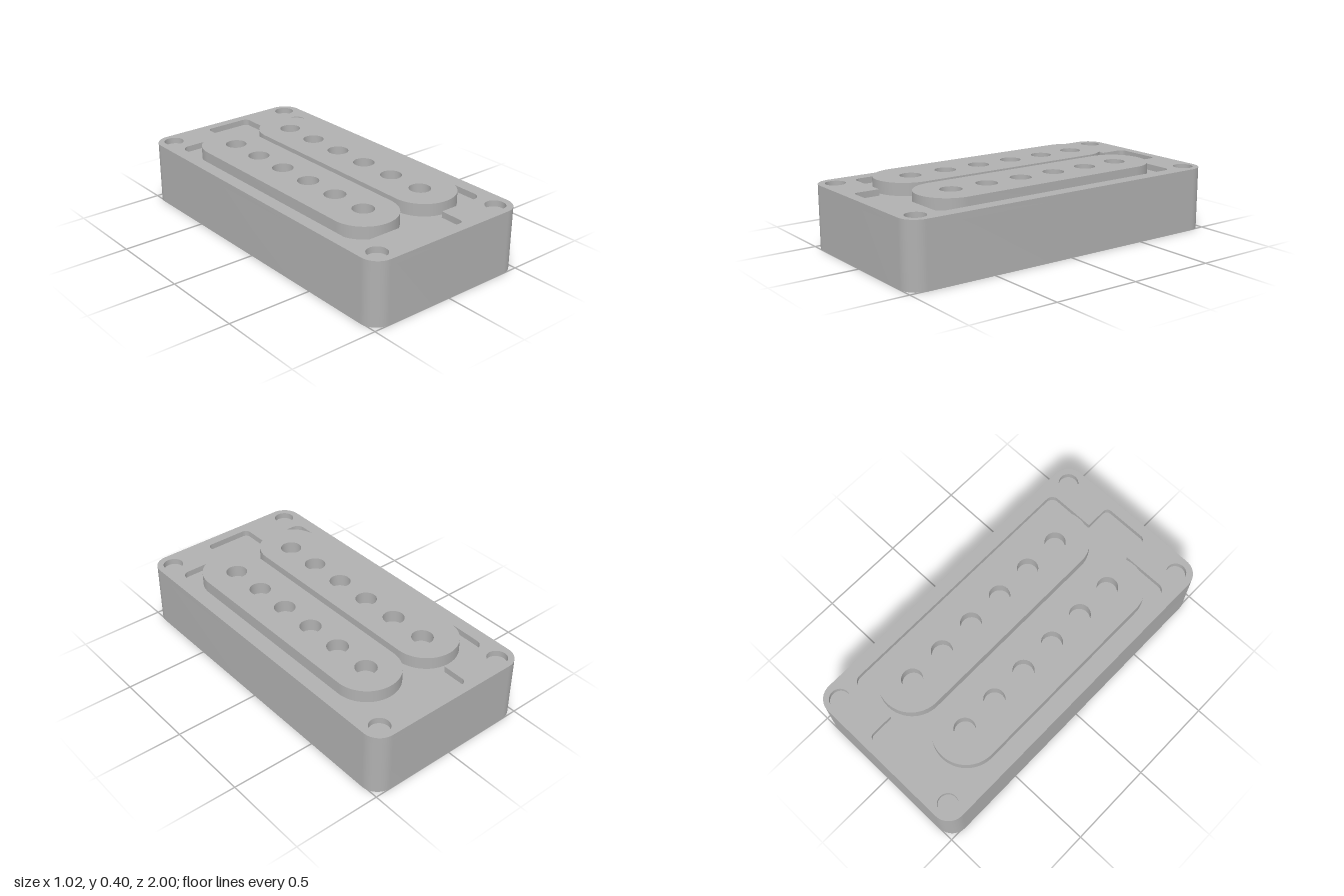
import * as THREE from 'three';
import { toCreasedNormals } from 'three/addons/utils/BufferGeometryUtils.js';

const FLOOR = 0.328, RIM = 0.363, TOP = 0.399;

// Outline in plan from corners [x, z, radius], rounded where radius > 0
function outline(corners, PathType = THREE.Shape) {
  const pts = corners.map(([x, z]) => new THREE.Vector2(x, -z));
  const path = new PathType();
  const n = pts.length;
  pts.forEach((p, i) => {
    const r = corners[i][2];
    const a = pts[(i + n - 1) % n].clone().sub(p).setLength(r).add(p);
    const b = pts[(i + 1) % n].clone().sub(p).setLength(r).add(p);
    if (i === 0) path.moveTo(a.x, a.y);
    else path.lineTo(a.x, a.y);
    if (r > 0) {
      // centre of a right-angled corner arc
      const c = a.clone().add(b).sub(p);
      const a0 = Math.atan2(a.y - c.y, a.x - c.x);
      const a1 = Math.atan2(b.y - c.y, b.x - c.x);
      const cross = (a.x - c.x) * (b.y - c.y) - (a.y - c.y) * (b.x - c.x);
      path.absarc(c.x, c.y, r, a0, a1, cross < 0);
    }
  });
  path.closePath();
  return path;
}

const rect = (x0, x1, z0, z1, r) =>
  outline([[x0, z0, r], [x0, z1, r], [x1, z1, r], [x1, z0, r]]);

function circle(x, z, r) {
  const path = new THREE.Path();
  path.absarc(x, -z, r, 0, Math.PI * 2, true);
  return path;
}

// Extrude a plan outline upward from y0 to y1
function slab(name, shape, y0, y1, material) {
  const geo = new THREE.ExtrudeGeometry(shape, { depth: y1 - y0, bevelEnabled: false, curveSegments: 16 });
  geo.rotateX(-Math.PI / 2);
  geo.translate(0, y0, 0);
  const mesh = new THREE.Mesh(toCreasedNormals(geo, 0.6), material);
  mesh.name = name;
  return mesh;
}

export function createModel() {
  const group = new THREE.Group();
  group.name = 'pickup';
  const grey = new THREE.MeshStandardMaterial({ color: 0xb0b0b0 });
  grey.name = 'grey';

  const body = () => rect(-0.508, 0.508, -1, 1, 0.1);

  // Solid lower block, whose top is the floor of every recess
  group.add(slab('housing', body(), 0, FLOOR, grey));

  // Rim with the tabbed pocket and four corner screw holes
  const rim = body();
  rim.holes.push(outline([
    [-0.433, -0.79, 0.045], [-0.433, 0.785, 0.045], [-0.147, 0.785, 0],
    [-0.147, 0.94, 0.03], [0.143, 0.94, 0.03], [0.143, 0.785, 0],
    [0.431, 0.785, 0.045], [0.431, -0.79, 0.045], [0.143, -0.79, 0],
    [0.143, -0.946, 0.03], [-0.147, -0.946, 0.03], [-0.147, -0.79, 0],
  ], THREE.Path));
  for (const x of [-0.411, 0.413])
    for (const z of [-0.911, 0.905]) rim.holes.push(circle(x, z, 0.057));
  group.add(slab('rim', rim, FLOOR, RIM, grey));

  // Two round-ended bobbins with six pole holes each
  const bobbins = [
    ['rightBobbin', -0.399, -0.024, -0.198],
    ['leftBobbin', 0.013, 0.388, 0.2],
  ];
  for (const [name, x0, x1, holeX] of bobbins) {
    const shape = rect(x0, x1, -0.756, 0.762, (x1 - x0) / 2 - 0.0005);
    for (let i = 0; i < 6; i++) shape.holes.push(circle(holeX, -0.568 + i * 0.2256, 0.06));
    group.add(slab(name, shape, FLOOR, TOP, grey));
  }
  return group;
}
